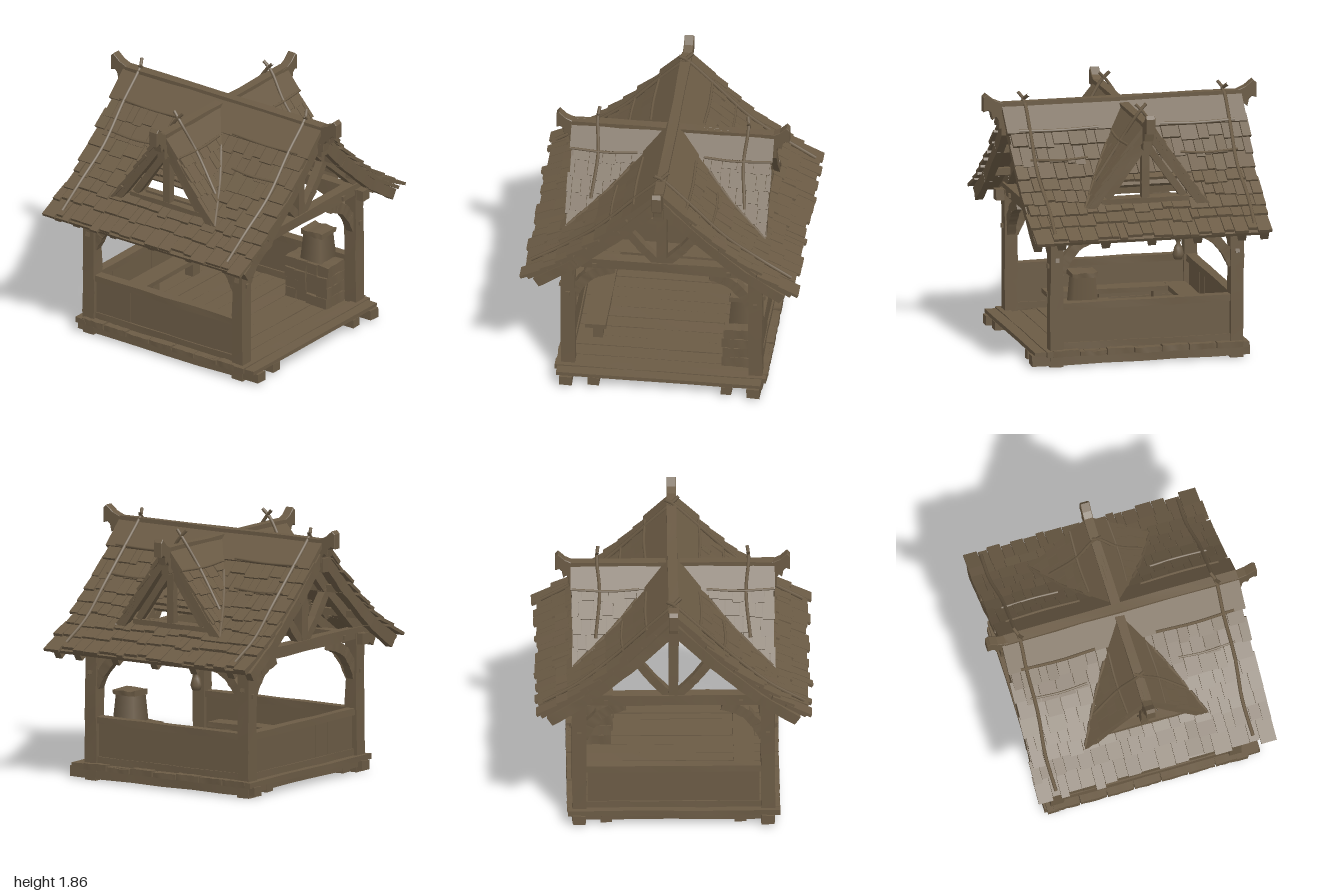
import * as THREE from 'three';
import { mergeGeometries } from 'three/addons/utils/BufferGeometryUtils.js';

const V = (x, y, z) => new THREE.Vector3(x, y, z);
const X = V(1, 0, 0), Z = V(0, 0, 1), ZC = -0.025;

export function createModel() {
  const group = new THREE.Group();
  const wood = new THREE.MeshStandardMaterial({ color: 0x6b5b45 });
  wood.name = 'weathered brown wood';

  let seed = 7;
  const rnd = () => (seed = (seed * 16807) % 2147483647) / 2147483647;
  const vary = (a) => (rnd() - 0.5) * 2 * a;

  const add = (name, ...geos) => {
    const mesh = new THREE.Mesh(mergeGeometries(geos.map((g) => (g.index ? g.toNonIndexed() : g))), wood);
    mesh.name = name;
    group.add(mesh);
  };

  // Squared timber from a to b: w is measured along side, d across it; rough bends it a little
  const bar = (a, b, w, d, side = Z, rough = 0, extra = 0) => {
    const y = b.clone().sub(a), len = y.length() + extra;
    y.normalize();
    const x = side.clone().addScaledVector(y, -side.dot(y)).normalize();
    const g = new THREE.BoxGeometry(w, len, d, 1, rough ? 6 : 1, 1);
    if (rough) {
      const p = g.attributes.position, offs = {};
      for (let i = 0; i < p.count; i++) {
        const key = [p.getX(i), p.getY(i), p.getZ(i)].map((n) => n.toFixed(3)).join();
        const o = (offs[key] ??= [vary(rough), vary(rough)]);
        p.setX(i, p.getX(i) + o[0]);
        p.setZ(i, p.getZ(i) + o[1]);
      }
      g.computeVertexNormals();
    }
    g.applyMatrix4(new THREE.Matrix4().makeBasis(x, y, x.clone().cross(y)));
    const m = a.clone().add(b).multiplyScalar(0.5);
    return g.translate(m.x, m.y, m.z);
  };
  const box = (x0, x1, y0, y1, z0, z1, rough = 0) =>
    x1 - x0 > z1 - z0
      ? bar(V(x0, (y0 + y1) / 2, (z0 + z1) / 2), V(x1, (y0 + y1) / 2, (z0 + z1) / 2), z1 - z0, y1 - y0, Z, rough)
      : bar(V((x0 + x1) / 2, (y0 + y1) / 2, z0), V((x0 + x1) / 2, (y0 + y1) / 2, z1), x1 - x0, y1 - y0, X, rough);
  const chain = (pts, w, d, side) => pts.slice(1).map((p, i) => bar(pts[i], p, w, d, side, 0.003, 0.025));
  const pole = (pts, r = 0.012) =>
    new THREE.TubeGeometry(new THREE.CatmullRomCurve3(pts), pts.length * 4, r, 6, false);

  // Roof profiles: a flared main roof and a straight, steeper cross gable
  const P = [[0, 1.77], [0.2, 1.55], [0.4, 1.35], [0.7, 1.11], [0.98, 0.94]];
  const interp = (v, i, o) => {
    let k = 1;
    while (k < P.length - 1 && (P[k][i] - v) * (i ? -1 : 1) < 0) k++;
    const t = (v - P[k - 1][i]) / (P[k][i] - P[k - 1][i]);
    return P[k - 1][o] + t * (P[k][o] - P[k - 1][o]);
  };
  const mainY = (x) => interp(x, 0, 1), valleyX = (y) => interp(y, 1, 0);
  const gableY = (dz) => 1.735 - 1.4 * dz;

  // Floor, ground skids and sills
  const planks = [];
  for (let i = 0; i < 13; i++) {
    const z = -0.76 + i * 0.12;
    planks.push(box(-0.73 + vary(0.015), 0.73 + vary(0.015), 0.085, 0.115 + vary(0.004), z, z + 0.116, 0.002));
  }
  add('floorPlanks', ...planks);
  for (const s of [-1, 1]) {
    add('groundSkid', box(s * 0.67 - 0.045, s * 0.67 + 0.045, 0.015, 0.085, -0.78, 0.815, 0.004),
      box(s * 0.475 - 0.04, s * 0.475 + 0.04, 0.02, 0.085, -0.75, 0.8, 0.004));
    add('crossSill', box(-0.76, 0.75, 0.08, 0.12, ZC + s * 0.7 - 0.04, ZC + s * 0.7 + 0.04, 0.003),
      box(-0.69, 0.69, 0.04, 0.085, ZC + s * 0.69 - 0.03, ZC + s * 0.69 + 0.03, 0.003));
    const edge = [];
    for (let z = -0.72; z < 0.6; z += 0.2) edge.push(box(s * 0.7 - 0.055, s * 0.7 + 0.055, 0.08, 0.12 + vary(0.008), z, z + 0.19, 0.003));
    add('edgeBoards', ...edge);
  }

  // Corner posts with curved knee braces and pegs
  for (const sx of [-1, 1]) for (const sz of [-1, 1]) {
    const x = sx * 0.67, z = ZC + sz * 0.66;
    add('cornerPost', bar(V(x, 0, z), V(x, 1.0, z), 0.1, 0.095, X, 0.004));
    const curve = [[0.03, 0.7], [0.075, 0.79], [0.15, 0.88], [0.22, 0.92], [0.31, 0.95]];
    add('frontKneeBrace', ...chain(curve.map(([u, y]) => V(x - sx * u, y, z)), 0.06, 0.075, Z));
    add('sideKneeBrace', ...chain(curve.map(([u, y]) => V(x, y - 0.015, z - sz * u)), 0.06, 0.07, X));
    add('postPeg', bar(V(x, 0.76, z), V(x + sx * 0.065, 0.78, z), 0.03, 0.03),
      bar(V(x, 0.73, z), V(x, 0.73, z + sz * 0.06), 0.03, 0.03, X));
  }

  // Low walls of upright boards with a rail, open at the front
  const wall = (name, f) => {
    const boards = [];
    for (let i = 0; i < 8; i++) {
      const u = -0.61 + i * 0.1525;
      boards.push(f(u, u + 0.1525, 0.12, 0.42, 0.02 + vary(0.003)));
    }
    add(name + 'Boards', ...boards);
    add(name + 'Rail', f(-0.62, 0.62, 0.41, 0.46, 0.035, 0.003), f(-0.62, 0.62, 0.12, 0.17, 0.03, 0.003));
  };
  for (const s of [-1, 1]) wall('sideWall', (a, b, y0, y1, t, r) => box(s * 0.67 - t, s * 0.67 + t, y0, y1, a + ZC, b + ZC, r));
  wall('backWall', (a, b, y0, y1, t, r) => box(a, b, y0, y1, -0.685 - t, -0.685 + t, r));

  // Benches along the left-hand and back walls
  add('sideBench', box(-0.58, -0.43, 0.245, 0.28, -0.5, 0.42, 0.003),
    ...[-0.4, 0, 0.32].map((z) => box(-0.53, -0.46, 0.11, 0.25, z - 0.03, z + 0.03)));
  add('backBench', box(-0.56, 0.42, 0.245, 0.28, -0.62, -0.47, 0.003),
    ...[-0.15, 0.33].map((x) => box(x - 0.04, x + 0.04, 0.11, 0.25, -0.58, -0.51)));

  // Stone stove with a stubby chimney
  const stones = [];
  for (let r = 0; r < 4; r++) for (let i = 0; i < 4; i++) {
    const z = 0.2 + i * 0.095, y = 0.11 + r * 0.08;
    stones.push(box(0.425 + vary(0.012), 0.63, y, y + 0.078, z, z + 0.093, 0.005));
  }
  add('stoveBase', ...stones);
  const chimney = new THREE.CylinderGeometry(0.105, 0.13, 0.23, 4, 3).rotateY(Math.PI / 4).translate(0.55, 0.53, 0.405);
  add('stoveChimney', chimney, box(0.465, 0.635, 0.62, 0.655, 0.315, 0.5, 0.006));

  // Tie beams, wall plates and the open trusses front and back
  for (const s of [-1, 1]) {
    const z = ZC + s * 0.66;
    add('tieBeam', box(-0.71, 0.71, 0.96, 1.04, z - 0.04, z + 0.04, 0.004));
    add('wallPlate', box(s * 0.67 - 0.04, s * 0.67 + 0.04, 0.92, 1.0, -0.78, 0.74, 0.003));
    add('kingPost', bar(V(0, 1.0, z), V(0, 1.7, z), 0.07, 0.07, X, 0.003));
    for (const q of [-1, 1]) {
      add('trussStrut', ...chain([[0.02, 1.02], [0.15, 1.16], [0.3, 1.36]].map(([x, y]) => V(q * x, y, z)), 0.06, 0.06, Z));
      add('tiePeg', bar(V(q * 0.48, 0.99, z), V(q * 0.48, 0.99, z + s * 0.055), 0.03, 0.03, X));
    }
  }
  for (const s of [-1, 1]) {
    const rafterPts = (z) => [[0, 1.66], [0.28, 1.38], [0.6, 1.1], [0.87, 0.92]].map(([x, y]) => V(s * x, y, z));
    add('rafters', ...[-0.85, -0.685, -0.36, 0.31, 0.635, 0.81].flatMap((z) => chain(rafterPts(z), 0.055, 0.075, Z)),
      ...chain(rafterPts(ZC).slice(2), 0.055, 0.07, Z));
    add('purlin', ...[0.3, 0.55].map((x) => box(s * x - 0.025, s * x + 0.025, mainY(x) - 0.1, mainY(x) - 0.05, -0.84, 0.81)));
  }

  // Ridge beams with carved, upturned ends
  const head = (scale) => {
    const pts = [[-0.04, 1.6], [0.05, 1.6], [0.055, 1.66], [0.075, 1.69], [0.1, 1.67], [0.11, 1.72], [0.135, 1.74], [0.165, 1.73], [0.165, 1.83], [0.145, 1.85], [0.09, 1.805], [0.03, 1.78], [-0.04, 1.775]];
    return new THREE.ExtrudeGeometry(new THREE.Shape(pts.map(([u, y]) => new THREE.Vector2(u * scale, y))),
      { depth: 0.06, bevelEnabled: true, bevelSize: 0.004, bevelThickness: 0.004, bevelSegments: 1, curveSegments: 1 }).translate(0, 0, -0.03);
  };
  add('mainRidgeBeam', box(-0.035, 0.035, 1.7, 1.785, -0.87, 0.86, 0.004), box(-0.035, 0.035, 1.55, 1.65, -0.9, 0.87, 0.003));
  add('crossRidgeBeam', box(-0.72, 0.72, 1.67, 1.745, ZC - 0.032, ZC + 0.032, 0.004), box(-0.74, 0.74, 1.55, 1.64, ZC - 0.03, ZC + 0.03, 0.003));
  for (const s of [-1, 1]) {
    add('mainRidgeHead', head(1).translate(0.831, 0, 0).rotateY(-s * Math.PI / 2));
    add('crossRidgeHead', head(0.85).translate(0.69, -0.04, 0).rotateY(s > 0 ? 0 : Math.PI).translate(0, 0, ZC));
  }

  // Main roof: sheathing, overlapping shingles and smooth ridge boards, with a vent gap under each gable
  const slab = (s, x0, x1, z0, z1, t, lift0, lift1) =>
    bar(V(s * x0, mainY(x0) + lift0, (z0 + z1) / 2), V(s * x1, mainY(x1) + lift1, (z0 + z1) / 2), z1 - z0, t);
  const rows = [0.16, 0.26, 0.36, 0.46, 0.55, 0.64, 0.73, 0.83, 0.96];
  for (const s of [-1, 1]) {
    const sheet = [[0, 0.2], [0.2, 0.4], [0.4, 0.51], [0.645, 0.7], [0.7, 0.94]].map(([a, b]) => slab(s, a, b, -0.86, 0.83, 0.025, -0.02, -0.02));
    sheet.push(slab(s, 0.51, 0.645, -0.86, -0.28, 0.025, -0.02, -0.02), slab(s, 0.51, 0.645, 0.23, 0.83, 0.025, -0.02, -0.02));
    add('mainRoofSheathing', ...sheet);
    const tiles = [];
    for (let r = 0; r < rows.length - 1; r++) {
      let z = -0.885 + vary(0.015);
      while (z < 0.83) {
        const w = Math.min(0.055 + rnd() * 0.08, 0.865 - z);
        const inGable = Math.abs(z + w / 2 - ZC) < 0.27;
        const start = inGable && r === 5 ? 0.64 : rows[r] - 0.03;
        const end = inGable && r === 3 ? 0.515 : rows[r + 1] + 0.012 + vary(r === 7 ? 0.025 : 0.016);
        if (!(inGable && r === 4)) tiles.push(slab(s, start, end, z, z + w - 0.005, 0.022, 0.002, 0.022 + rnd() * 0.012));
        z += w;
      }
    }
    add('mainRoofShingles', ...tiles);
    add('mainRidgeBoard', slab(s, 0, 0.19, -0.89, 0.865, 0.03, 0.002, 0.028));
  }

  // Cross gables: shingled slopes running back into the main roof, each with its own small truss
  const gRows = [0.1, 0.17, 0.24, 0.31, 0.38, 0.45];
  for (const sx of [-1, 1]) {
    for (const sz of [-1, 1]) {
      const gs = (x0, x1, a, b, t, l0, l1) =>
        bar(V(sx * (x0 + x1) / 2, gableY(a) + l0, ZC + sz * a), V(sx * (x0 + x1) / 2, gableY(b) + l1, ZC + sz * b), x1 - x0, t, X);
      const sheet = [], tiles = [];
      for (let r = 0; r < gRows.length - 1; r++) {
        const [a, b] = [gRows[r], gRows[r + 1]], start = valleyX(gableY((a + b) / 2));
        sheet.push(gs(start, 0.715, a, b, 0.02, -0.015, -0.015));
        for (let x = start - 0.02; x < 0.7;) {
          const w = Math.min(0.05 + rnd() * 0.07, 0.725 + vary(0.012) - x);
          tiles.push(gs(x, x + Math.max(w - 0.005, 0.01), a - 0.02, b + 0.01 + vary(0.012), 0.02, 0.005, 0.024 + rnd() * 0.01));
          x += Math.max(w, 0.03);
        }
      }
      add('gableSheathing', ...sheet);
      add('gableShingles', ...tiles);
      add('gableRidgeBoard', gs(0, 0.725, 0, 0.13, 0.028, 0, 0.025));
      const gp = (x, dz, off) => V(sx * x, gableY(dz) + off, ZC + sz * dz);
      add('gableRafters', bar(gp(0.69, 0, -0.05), gp(0.69, 0.44, -0.04), 0.05, 0.05, X, 0.003),
        bar(gp(0.65, 0.02, -0.15), gp(0.65, 0.28, -0.15), 0.05, 0.05, X, 0.002));
      // Binding poles laid on the gable slope and beside its valley
      add('gablePoles', pole([gp(0.53, -0.04, 0.05), gp(0.54, 0.02, 0.07), gp(0.52, 0.15, 0.05), gp(0.55, 0.34, 0.045)]),
        pole([gp(0.24, 0.14, 0.05), gp(0.45, 0.15, 0.055), gp(0.72, 0.14, 0.05)], 0.01),
        pole([0.17, 0.3, 0.45].map((dz) => gp(valleyX(gableY(dz)), dz, 0.03)), 0.014));
    }
    add('gableTruss', box(sx * 0.65 - 0.03, sx * 0.65 + 0.03, 1.11, 1.19, ZC - 0.32, ZC + 0.32, 0.003),
      bar(V(sx * 0.65, 1.15, ZC), V(sx * 0.65, 1.62, ZC), 0.055, 0.055, X, 0.002));
  }

  // Binding poles on the main roof, crossing above the ridge
  for (const s of [-1, 1]) {
    const mp = (x, z, off = 0.045) => V(s * x, mainY(Math.abs(x)) + off, z);
    for (const z of [-0.76, 0.7]) {
      add('roofPole', pole([V(-s * 0.05, 1.84, z + s * 0.025), V(0, 1.8, z), mp(0.2, z, 0.055), mp(0.45, z + 0.01), mp(0.7, z - 0.01), mp(0.93, z)], 0.013));
    }
    add('ridgeRod', pole([mp(0.19, -0.8, 0.05), mp(0.2, -0.5, 0.055), mp(0.19, -0.25, 0.05)], 0.011),
      pole([mp(0.19, 0.2, 0.05), mp(0.2, 0.5, 0.055), mp(0.19, 0.78, 0.05)], 0.011),
      pole([mp(0.36, -0.78), mp(0.37, -0.55), mp(0.36, -0.36)], 0.009),
      pole([mp(0.36, 0.32), mp(0.37, 0.5), mp(0.36, 0.74)], 0.009));
  }

  // Small sack hung from the wall plate
  const sack = [[0, 0.73], [0.03, 0.735], [0.042, 0.77], [0.03, 0.82], [0.012, 0.85], [0.025, 0.88]].map(([r, y]) => new THREE.Vector2(r, y));
  add('hangingSack', new THREE.LatheGeometry(sack, 10).translate(0.69, 0, -0.26),
    pole([V(0.69, 0.84, -0.26), V(0.69, 0.89, -0.25), V(0.69, 0.94, -0.235)], 0.006),
    pole([V(0.69, 0.84, -0.26), V(0.69, 0.88, -0.27), V(0.69, 0.93, -0.285)], 0.006));

  return group;
}
